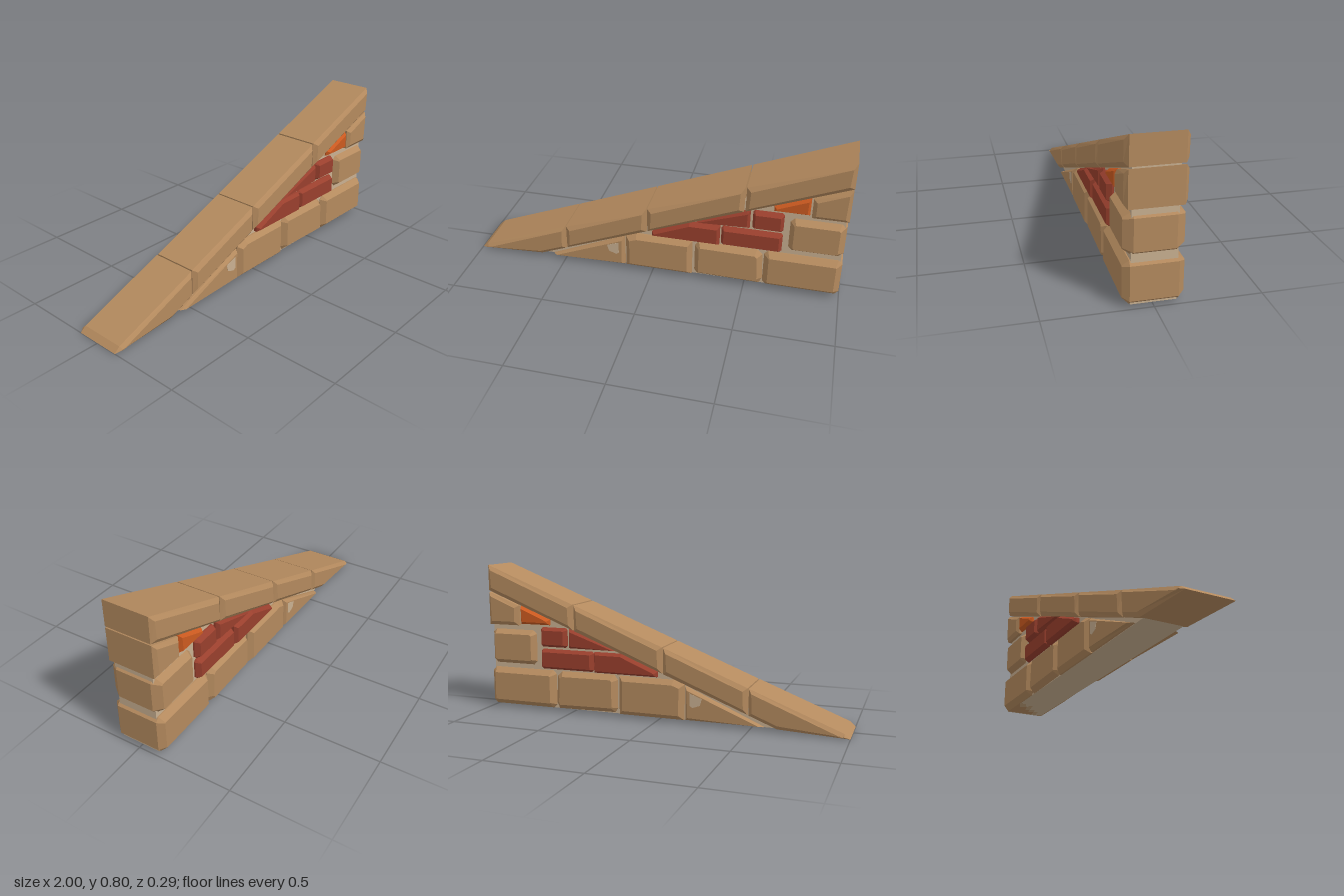
import * as THREE from 'three';

const mat = (name, color) => {
  const m = new THREE.MeshStandardMaterial({ color });
  m.name = name;
  return m;
};

// outline in x/y, extruded symmetrically in z to +-half, with flat chamfers on both faces
function block(points, half, size = 0, thick = 0) {
  const shape = new THREE.Shape(points.map(([x, y]) => new THREE.Vector2(x, y)));
  const depth = 2 * (half - thick);
  const g = new THREE.ExtrudeGeometry(shape, {
    depth, bevelEnabled: size > 0, bevelSegments: 1,
    bevelSize: size, bevelOffset: -size, bevelThickness: thick,
  });
  return g.translate(0, 0, -depth / 2);
}

// rectangle with clipped corners
const rect = (x0, y0, x1, y1, c = 0.01) => [
  [x0 + c, y0], [x1 - c, y0], [x1, y0 + c], [x1, y1 - c],
  [x1 - c, y1], [x0 + c, y1], [x0, y1 - c], [x0, y0 + c],
];

export function createModel() {
  const group = new THREE.Group();
  const stone = mat('tan stone', 0xb48a5e);
  const mortar = mat('pale mortar', 0xc9b091);
  const red = mat('red brick', 0x993f2d);
  const orange = mat('orange brick', 0xcc5a20);
  const add = (name, geometry, material) => {
    const m = new THREE.Mesh(geometry, material);
    m.name = name;
    group.add(m);
  };

  // mortar core, hidden under the sloping coping
  add('mortarCore', block([[-0.8, 0.016], [0.985, 0.016], [0.985, 0.7], [-0.8, 0.03]], 0.105), mortar);

  // sloping coping stones
  const top = x => 0.406 + 0.394 * x;
  const under = x => 0.267 + 0.392 * x;
  add('copingTip', block([[-1, 0], [-0.64, 0.016], [-0.493, under(-0.493)],
    [-0.493, top(-0.493)], [-0.97, 0.026]], 0.14, 0.02, 0.016), stone);
  [[-0.487, -0.033], [-0.027, 0.478], [0.486, 1]].forEach(([a, b], i) =>
    add('coping' + (i + 1), block([[a, under(a)], [b, under(b)], [b, top(b)], [a, top(a)]], 0.14, 0.024, 0.018), stone));

  // bottom course
  add('baseWedge', block([[-0.57, 0.018], [-0.155, 0.018], [-0.155, 0.198]], 0.136, 0.016, 0.02), stone);
  add('baseStone1', block([[-0.148, 0.016], [0.217, 0.016], [0.217, 0.225], [-0.09, 0.225], [-0.148, 0.203]], 0.14, 0.024, 0.025), stone);
  add('baseStone2', block([[0.245, 0.022], [0.58, 0.016], [0.596, 0.05], [0.588, 0.2],
    [0.56, 0.225], [0.25, 0.228], [0.23, 0.2], [0.23, 0.045]], 0.138, 0.026, 0.03), stone);
  add('baseStone3', block(rect(0.597, 0.016, 0.996, 0.226, 0.02), 0.14, 0.028, 0.03), stone);

  // upper stones at the tall end
  add('sideStone', block(rect(0.708, 0.245, 0.994, 0.45, 0.024), 0.138, 0.03, 0.042), stone);
  add('upperStone', block([[0.815, 0.47], [0.998, 0.47], [0.998, 0.65], [0.815, 0.58]], 0.14, 0.02, 0.016), stone);

  // red bricks in two courses
  add('redWedgeLow', block([[0, 0.235], [0.36, 0.235], [0.36, 0.345], [0.2, 0.345], [0, 0.262]], 0.143, 0.012, 0.02), red);
  add('redBrickLow', block(rect(0.368, 0.235, 0.683, 0.345), 0.138, 0.015, 0.025), red);
  add('redWedgeHigh', block([[0.23, 0.358], [0.512, 0.358], [0.512, 0.464], [0.49, 0.459]], 0.136, 0.013, 0.02), red);
  add('redBrickHigh', block(rect(0.525, 0.358, 0.683, 0.465), 0.138, 0.015, 0.025), red);

  // single orange brick under the coping
  add('orangeBrick', block([[0.628, 0.478], [0.806, 0.478], [0.806, 0.578], [0.628, 0.508]], 0.134, 0.013, 0.02), orange);

  // worn mortar patch showing on both faces of the wedge stone
  for (const s of [-1, 1]) {
    const chip = block([[-0.25, 0.14], [-0.24, 0.105], [-0.2, 0.09], [-0.185, 0.1], [-0.185, 0.165], [-0.215, 0.155]], 0.002);
    add('mortarPatch', chip.translate(0, 0, s * 0.1355), mortar);
  }

  return group;
}
